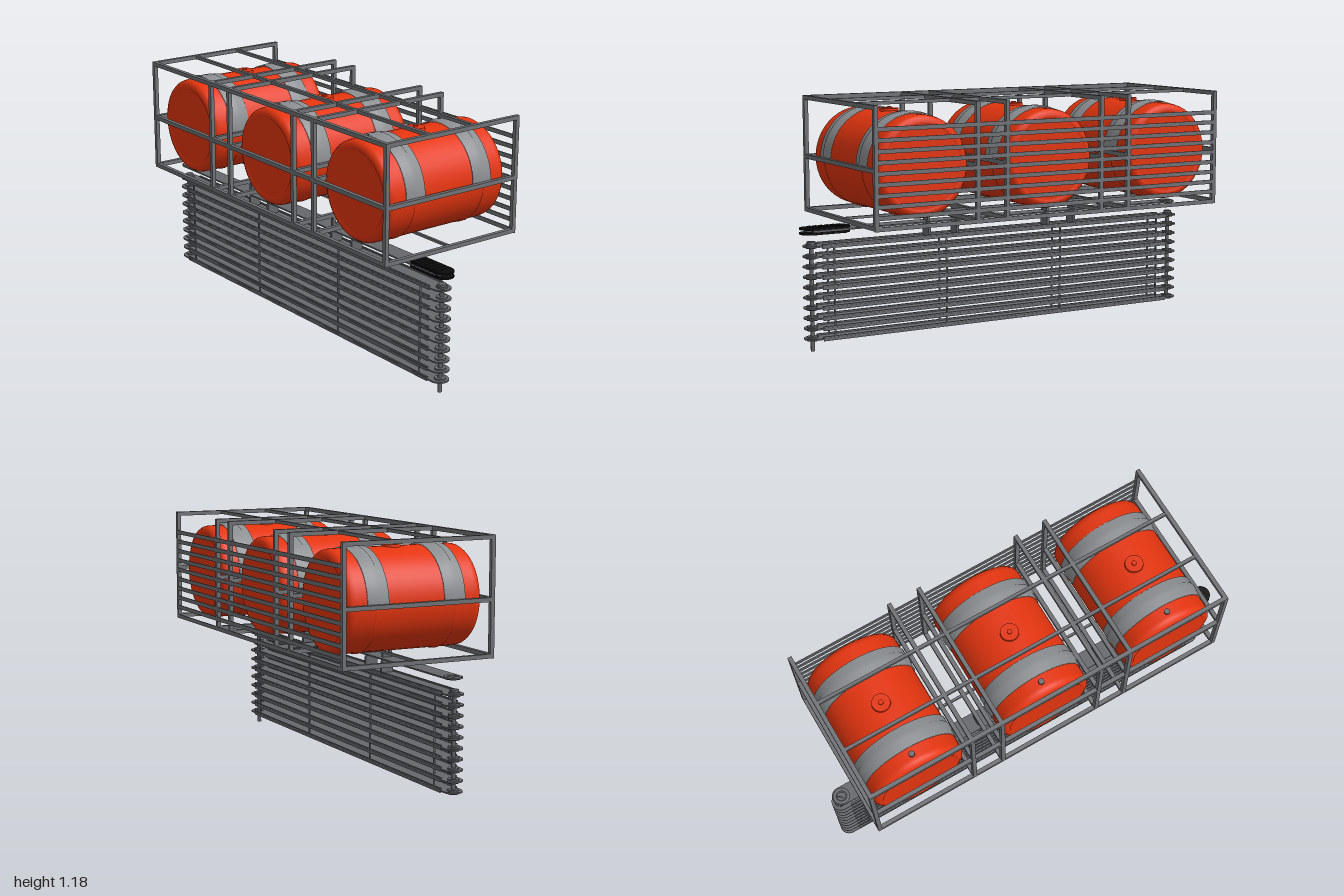
import * as THREE from 'three';

const mat = (name, color, side = THREE.FrontSide) => {
  const m = new THREE.MeshStandardMaterial({ color, side });
  m.name = name;
  return m;
};

export function createModel() {
  const red = mat('barrel red', 0xe5350f);
  const steel = mat('frame grey', 0x707276);
  const strapGrey = mat('strap grey', 0x8c8f92, THREE.DoubleSide);
  const dark = mat('plank grey', 0x66686c);
  const black = mat('grip black', 0x0c0c0c);

  const model = new THREE.Group();
  model.name = 'barrelRack';
  const body = new THREE.Group();
  body.name = 'rackBody';
  body.rotation.y = 0.556; // the rack stands turned on its base
  model.add(body);

  const add = (parent, name, geo, material, x = 0, y = 0, z = 0) => {
    const m = new THREE.Mesh(geo, material);
    m.name = name;
    m.position.set(x, y, z);
    parent.add(m);
    return m;
  };
  const box = (name, w, h, d, x, y, z, material = steel) =>
    add(body, name, new THREE.BoxGeometry(w, h, d), material, x, y, z);

  // Flat plate with rounded ends, lying along z, with a hole at chosen ends
  const roundedPlate = (r, half, thick, holes) => {
    const s = new THREE.Shape();
    s.absarc(0, half - r, r, 0, Math.PI, false);
    s.absarc(0, r - half, r, Math.PI, Math.PI * 2, false);
    s.closePath();
    for (const e of holes) {
      const h = new THREE.Path();
      h.absarc(0, e * (half - r), r * 0.45, 0, Math.PI * 2, true);
      s.holes.push(h);
    }
    const g = new THREE.ExtrudeGeometry(s, { depth: thick, bevelEnabled: false, curveSegments: 12 });
    return g.translate(0, 0, -thick / 2).rotateX(Math.PI / 2);
  };

  // ---- Cage ----
  const B = 0.02, HX = 0.374, HZ = 0.928;
  const yLow = 0.635, yMid = 0.89, yTop = 1.17;
  const stations = [-HZ, -0.414, -0.259, 0.259, 0.414, HZ];
  for (const z of stations) {
    for (const x of [-HX, HX]) box('post', B, yTop - yLow + B, B, x, (yTop + yLow) / 2, z);
    for (const y of [yLow, yMid, yTop]) box('crossBar', 2 * HX, B, B, 0, y, z);
  }
  const length = 2 * HZ + B;
  for (const y of [yLow, yMid, yTop]) box('sideRail', B, B, length, -HX, y, 0);
  for (const x of [-0.127, 0.127]) box('topRail', 0.016, 0.016, length, x, yTop, 0);
  box('bottomRail', 0.012, 0.012, length, 0, yLow, 0);

  // Thin slats closing one long side
  for (let i = 0; i < 10; i++) {
    box('sideSlat', 0.006, 0.02, length, HX + 0.007, 0.632 + i * 0.0492, 0);
  }

  // ---- Barrels lying across the cage ----
  const V = (r, y) => new THREE.Vector2(r, y);
  const halfProfile = [
    [0.235, 0.1], [0.235, 0.19], [0.239, 0.195], [0.239, 0.205], [0.235, 0.21],
    [0.235, 0.3], [0.232, 0.318], [0.223, 0.331], [0.208, 0.338], [0.195, 0.338], [0.19, 0.333], [0, 0.333],
  ];
  const profile = [
    ...halfProfile.map(([r, y]) => V(r, -y)).reverse(),
    ...halfProfile.map(([r, y]) => V(r, y)),
  ];
  const barrelGeo = new THREE.LatheGeometry(profile, 48).rotateZ(-Math.PI / 2);
  // Straps arch over the upper half only
  const strapProfile = [
    V(0.236, -0.053), V(0.241, -0.052), V(0.241, -0.018), V(0.245, -0.014),
    V(0.245, 0.014), V(0.241, 0.018), V(0.241, 0.052), V(0.236, 0.053),
  ];
  const strapGeo = new THREE.LatheGeometry(strapProfile, 32, Math.PI, Math.PI).rotateZ(-Math.PI / 2);

  for (const z of [-0.672, 0, 0.672]) {
    const barrel = new THREE.Group();
    barrel.name = 'barrel';
    barrel.position.set(0, yMid, z);
    body.add(barrel);
    add(barrel, 'drum', barrelGeo, red);
    for (const x of [-0.193, 0.193]) add(barrel, 'strap', strapGeo, strapGrey, x);
    add(barrel, 'lid', new THREE.CylinderGeometry(0.043, 0.045, 0.02, 28), red, 0, 0.234, 0);
    add(barrel, 'lidKnob', new THREE.CylinderGeometry(0.012, 0.012, 0.008, 12), red, 0, 0.247, 0);
    add(barrel, 'ventNeck', new THREE.CylinderGeometry(0.009, 0.009, 0.03, 12), steel, -0.283, 0.237, 0);
    add(barrel, 'ventCap', new THREE.CylinderGeometry(0.014, 0.014, 0.01, 12), steel, -0.283, 0.25, 0);
  }

  // ---- Stack of planks hung below the cage ----
  const PX = -0.127, END = 1.02;
  const plankGeo = roundedPlate(0.045, 1.06, 0.007, [-1, 1]);
  for (let i = 0; i < 10; i++) {
    const y = 0.06 + i * 0.0486;
    add(body, 'plank', plankGeo, dark, PX, y, 0);
    for (const s of [-1, 1]) {
      box('plankEdge', 0.008, 0.021, 2 * 0.98, PX + s * 0.04, y, 0, dark);
      add(body, 'endCollar', new THREE.CylinderGeometry(0.026, 0.026, 0.021, 16), dark, PX, y, s * END);
    }
  }
  // Paired tie rods through the stack
  for (const z of [-0.92, -0.325, 0.325, 0.92]) {
    for (const s of [-1, 1]) {
      add(body, 'tieRod', new THREE.CylinderGeometry(0.005, 0.005, 0.45, 8), steel, PX + s * 0.038, 0.278, z);
    }
  }
  // End pins, the front one reaching the ground
  for (const [z, low] of [[END, 0], [-END, 0.05]]) {
    add(body, 'endPin', new THREE.CylinderGeometry(0.01, 0.01, 0.515 - low, 12), dark, PX, (0.515 + low) / 2, z);
    add(body, 'pinHead', new THREE.CylinderGeometry(0.02, 0.02, 0.012, 12), dark, PX, 0.513, z);
  }

  // Hanger brackets with an eye near the top
  const hanger = new THREE.Shape();
  hanger.moveTo(-0.031, 0);
  hanger.lineTo(0.031, 0);
  hanger.lineTo(0.031, 0.05);
  hanger.lineTo(0.025, 0.06);
  hanger.lineTo(0.025, 0.128);
  hanger.lineTo(-0.025, 0.128);
  hanger.lineTo(-0.025, 0.06);
  hanger.lineTo(-0.031, 0.05);
  hanger.closePath();
  const eye = new THREE.Path();
  eye.absarc(0, 0.1, 0.01, 0, Math.PI * 2, true);
  hanger.holes.push(eye);
  const hangerGeo = new THREE.ExtrudeGeometry(hanger, { depth: 0.014, bevelEnabled: false });
  for (const z of [-0.414, -0.259, 0.259, 0.414]) add(body, 'hanger', hangerGeo, dark, PX, 0.5, z - 0.007);

  // ---- Long flat tool stored between cage and planks ----
  add(body, 'toolBlade', roundedPlate(0.045, 1.05, 0.007, [-1]), dark, PX, 0.57, 0);
  add(body, 'toolEye', new THREE.TorusGeometry(0.033, 0.008, 8, 24).rotateX(Math.PI / 2), steel, PX, 0.57, -1.005);
  for (const y of [0.559, 0.581]) {
    add(body, 'gripPlate', roundedPlate(0.046, 0.125, 0.008, []), black, PX, y, 0.95);
  }
  for (let i = 0; i < 6; i++) {
    box('gripRib', 0.084, 0.034, 0.02, PX, 0.57, 0.865 + i * 0.03, black);
  }
  box('gripCore', 0.08, 0.026, 0.18, PX, 0.57, 0.94, black);

  return model;
}
